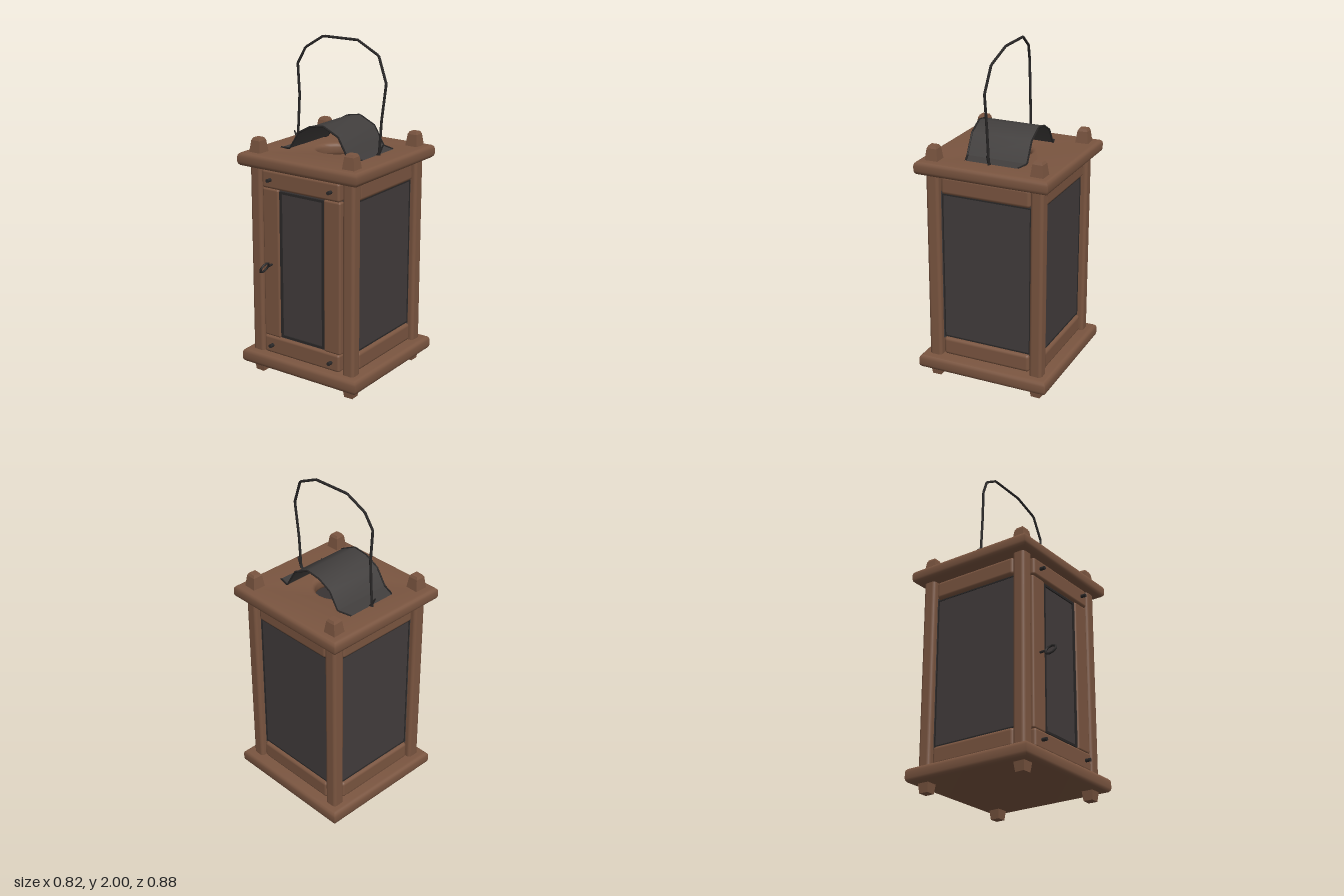
import * as THREE from 'three';
import { toCreasedNormals } from 'three/addons/utils/BufferGeometryUtils.js';
import { RoundedBoxGeometry } from 'three/addons/geometries/RoundedBoxGeometry.js';

const CZ = -0.03; // centre of the lantern body in z

export function createModel() {
  const mat = (name, color, side = THREE.FrontSide) => {
    const m = new THREE.MeshStandardMaterial({ color, side });
    m.name = name;
    return m;
  };
  const wood = mat('wood', 0x7a5540);
  const pane = mat('dark pane', 0x423c3c);
  const sheet = mat('chimney sheet', 0x413e3d, THREE.DoubleSide);
  const iron = mat('black iron', 0x2a2828);

  const model = new THREE.Group();
  model.name = 'lantern';
  const add = (parent, name, geo, material, x = 0, y = 0, z = 0) => {
    const m = new THREE.Mesh(geo, material);
    m.name = name;
    m.position.set(x, y, z);
    parent.add(m);
    return m;
  };
  const rounded = (w, h, d, r) => new RoundedBoxGeometry(w, h, d, 2, r);

  // Square plates with rounded edges; the upper one has a smoke hole
  const plate = (w, d, h, hole) => {
    const b = 0.025, x = w / 2 - b, z = d / 2 - b;
    const s = new THREE.Shape([[-x, -z], [x, -z], [x, z], [-x, z]].map(p => new THREE.Vector2(...p)));
    if (hole) s.holes.push(new THREE.Path().absarc(0, 0, hole + b, 0, Math.PI * 2, true));
    const g = new THREE.ExtrudeGeometry(s, {
      depth: h - 2 * b, bevelSize: b, bevelThickness: b, bevelSegments: 3, curveSegments: 10,
    });
    g.translate(0, 0, b).rotateX(-Math.PI / 2);
    return toCreasedNormals(g, 0.7);
  };
  add(model, 'basePlate', plate(0.82, 0.815, 0.085), wood, 0, 0.055, CZ);
  add(model, 'topPlate', plate(0.825, 0.815, 0.08, 0.12), wood, -0.002, 1.277, CZ);

  // Corner posts with tapered pegs passing through both plates
  const peg = (r0, r1, h) => toCreasedNormals(
    new THREE.CylinderGeometry(r1 * Math.SQRT2, r0 * Math.SQRT2, h, 4).rotateY(Math.PI / 4), 0.5);
  for (const sx of [-1, 1]) for (const sz of [-1, 1]) {
    const post = new THREE.Group();
    post.name = 'cornerPost';
    post.position.set(sx * 0.323, 0, CZ + sz * 0.322);
    post.rotation.y = sx * sz * 0.03;
    model.add(post);
    add(post, 'postShaft', rounded(0.078, 1.2, 0.078, 0.02), wood, 0, 0.71);
    add(post, 'postPeg', peg(0.04, 0.03, 0.075), wood, 0, 1.388);
    add(post, 'postPegTip', peg(0.03, 0.022, 0.015), wood, 0, 1.433);
    add(post, 'postFoot', peg(0.028, 0.036, 0.065), wood, 0, 0.0325);
  }

  // Sides and back: two rails and a large dark pane in a thin iron edging
  for (const a of [Math.PI / 2, -Math.PI / 2, Math.PI]) {
    const side = new THREE.Group();
    side.name = 'sidePanel';
    side.position.z = CZ;
    side.rotation.y = a;
    model.add(side);
    add(side, 'lowerRail', rounded(0.55, 0.11, 0.05, 0.02), wood, 0, 0.2, 0.32);
    add(side, 'upperRail', rounded(0.55, 0.11, 0.05, 0.02), wood, 0, 1.215, 0.32);
    add(side, 'pane', new THREE.BoxGeometry(0.575, 0.93, 0.012), pane, 0, 0.707, 0.318);
    for (const s of [-1, 1]) {
      add(side, 'paneEdge', new THREE.BoxGeometry(0.008, 0.9, 0.016), iron, s * 0.272, 0.707, 0.319);
      add(side, 'paneEdge', new THREE.BoxGeometry(0.55, 0.008, 0.016), iron, 0, 0.707 + s * 0.447, 0.319);
    }
  }

  // Front door: rails, stiles, narrow pane and nails
  const door = new THREE.Group();
  door.name = 'door';
  model.add(door);
  for (const y of [0.2, 1.217]) {
    add(door, 'doorRail', rounded(0.54, 0.108, 0.055, 0.015), wood, 0, y, 0.31);
    for (const x of [-0.208, 0.215]) {
      add(door, 'nail', new THREE.CylinderGeometry(0.011, 0.011, 0.035, 8).rotateX(Math.PI / 2),
        iron, x, y, 0.35);
    }
  }
  for (const s of [-1, 1]) {
    add(door, 'doorStile', rounded(0.115, 0.91, 0.045, 0.012), wood, s * 0.215, 0.707, 0.308);
    add(door, 'doorPaneEdge', new THREE.BoxGeometry(0.014, 0.89, 0.02), iron, s * 0.148, 0.707, 0.314);
    add(door, 'doorPaneEdge', new THREE.BoxGeometry(0.3, 0.014, 0.02), iron, 0, 0.707 + s * 0.44, 0.314);
  }
  add(door, 'doorPane', new THREE.BoxGeometry(0.32, 0.91, 0.012), pane, 0, 0.707, 0.31);

  // Ring pull on the door
  const latch = new THREE.Group();
  latch.name = 'ringPull';
  latch.position.set(-0.21, 0.705, 0.4);
  latch.rotation.z = -0.5;
  model.add(latch);
  add(latch, 'ring', new THREE.TorusGeometry(0.034, 0.007, 5, 8).rotateY(Math.PI / 2), iron);
  add(latch, 'ringStem', new THREE.CylinderGeometry(0.007, 0.007, 0.05, 6).rotateX(Math.PI / 2), iron, 0, 0, -0.055);

  // Bent sheet over the smoke hole: profile x, y and half depth
  const arch = [[-0.28, 1.357, 0.16], [-0.2, 1.367, 0.185], [-0.14, 1.465, 0.184], [-0.06, 1.51, 0.184],
    [0.03, 1.525, 0.184], [0.13, 1.475, 0.184], [0.195, 1.362, 0.184], [0.275, 1.357, 0.158]];
  const pos = [], idx = [];
  arch.forEach(([x, y, d], i) => {
    const skew = -0.035 * x; // slight twist on the roof
    pos.push(x, y, CZ + d + skew, x, y, CZ - d + skew);
    if (i) {
      const k = 2 * i;
      idx.push(k - 2, k, k - 1, k, k + 1, k - 1);
    }
  });
  const archGeo = new THREE.BufferGeometry();
  archGeo.setAttribute('position', new THREE.Float32BufferAttribute(pos, 3));
  archGeo.setIndex(idx);
  add(model, 'chimneySheet', toCreasedNormals(archGeo, 0.65), sheet);

  // Dark rims along the front and back edges of the sheet
  const polyline = (pts) => {
    const path = new THREE.CurvePath();
    for (let i = 1; i < pts.length; i++) path.add(new THREE.LineCurve3(pts[i - 1], pts[i]));
    return path;
  };
  for (const s of [-1, 1]) {
    const rim = arch.map(([x, y, d]) => new THREE.Vector3(x, y, CZ + s * d - 0.035 * x));
    add(model, 'chimneyRim', new THREE.TubeGeometry(polyline(rim), 56, 0.006, 4), iron);
  }

  // Hand-bent wire handle with twisted ends
  const wire = [[-0.292, 1.35, -0.03], [-0.282, 1.46, -0.03], [-0.272, 1.64, -0.03], [-0.277, 1.825, -0.022],
    [-0.23, 1.92, -0.035], [-0.115, 1.993, -0.052], [0.12, 1.991, -0.055], [0.27, 1.92, -0.04],
    [0.33, 1.77, -0.028], [0.302, 1.56, -0.028], [0.286, 1.35, -0.03]]
    .map(p => new THREE.Vector3(...p));
  add(model, 'handleWire', new THREE.TubeGeometry(polyline(wire), 100, 0.008, 5), iron);
  for (const s of [-1, 1]) {
    const knot = add(model, 'handleTwist', new THREE.CylinderGeometry(0.004, 0.011, 0.08, 5), iron,
      s * 0.295, 1.385, CZ);
    knot.rotation.z = s * -0.5;
  }
  return model;
}
